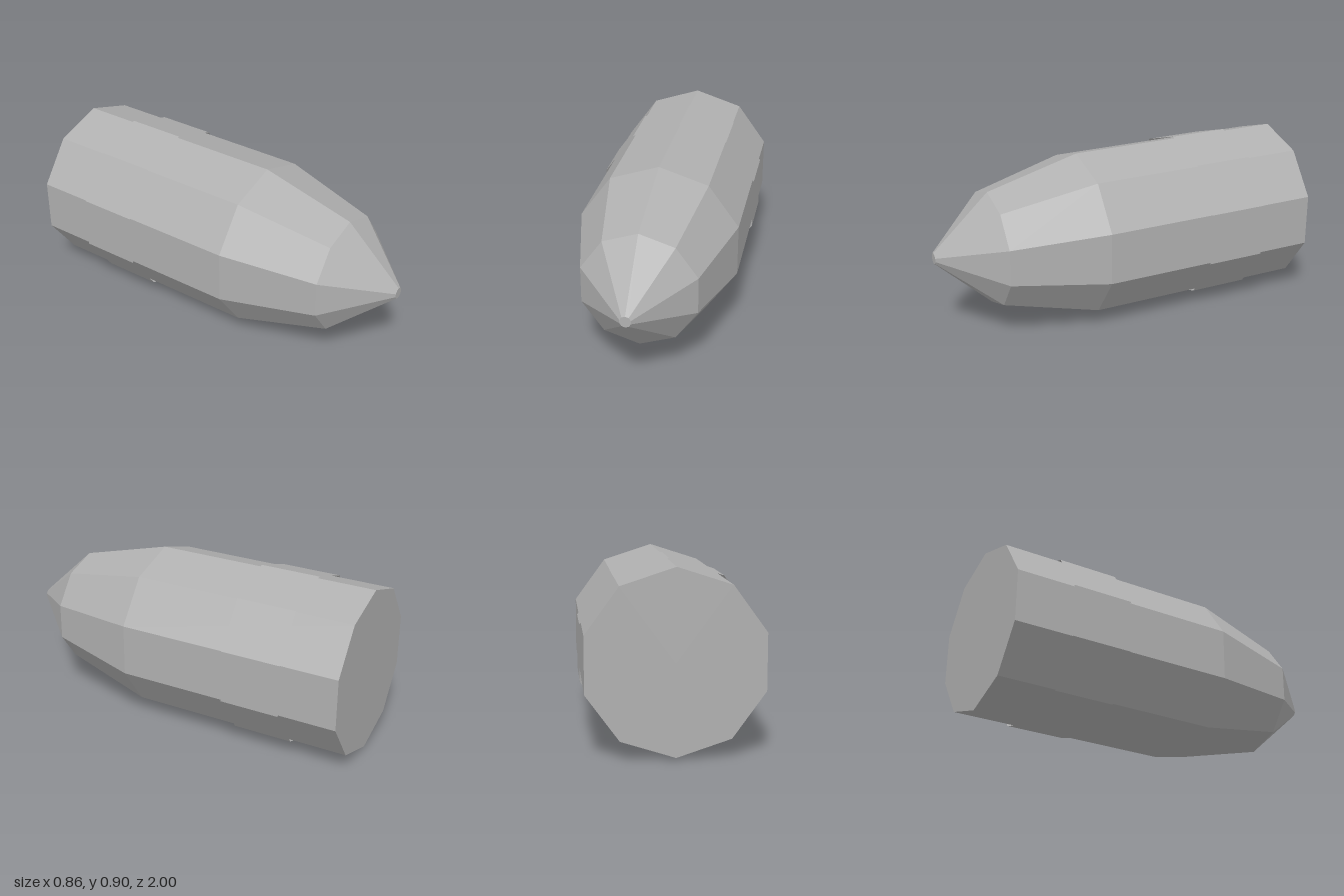
import * as THREE from 'three';

const SIDES = 10;
const AXIS_HEIGHT = 0.45;

// Ten-sided turned part lying along z; profile is [radius, z] from back to front
function turned(name, profile, material) {
  const points = profile.map(([r, z]) => new THREE.Vector2(r, z));
  const geometry = new THREE.LatheGeometry(points, SIDES).toNonIndexed();
  geometry.rotateX(Math.PI / 2);
  geometry.computeVertexNormals();
  const mesh = new THREE.Mesh(geometry, material);
  mesh.name = name;
  mesh.position.y = AXIS_HEIGHT;
  return mesh;
}

export function createModel() {
  const model = new THREE.Group();
  model.name = 'bullet';

  const metal = new THREE.MeshStandardMaterial({ color: 0xb0b0b0 });
  metal.name = 'grey metal';
  metal.flatShading = true;
  metal.side = THREE.DoubleSide;

  // Closed casing with a two-step tapered nose and a small flat tip
  model.add(turned('body', [
    [0, -1], [0.44, -1], [0.44, 0.2], [0.308, 0.7], [0.029, 1], [0, 1],
  ], metal));

  // Thin open sleeve around the rear
  model.add(turned('band', [[0.45, -0.7], [0.45, -0.38]], metal));

  return model;
}
